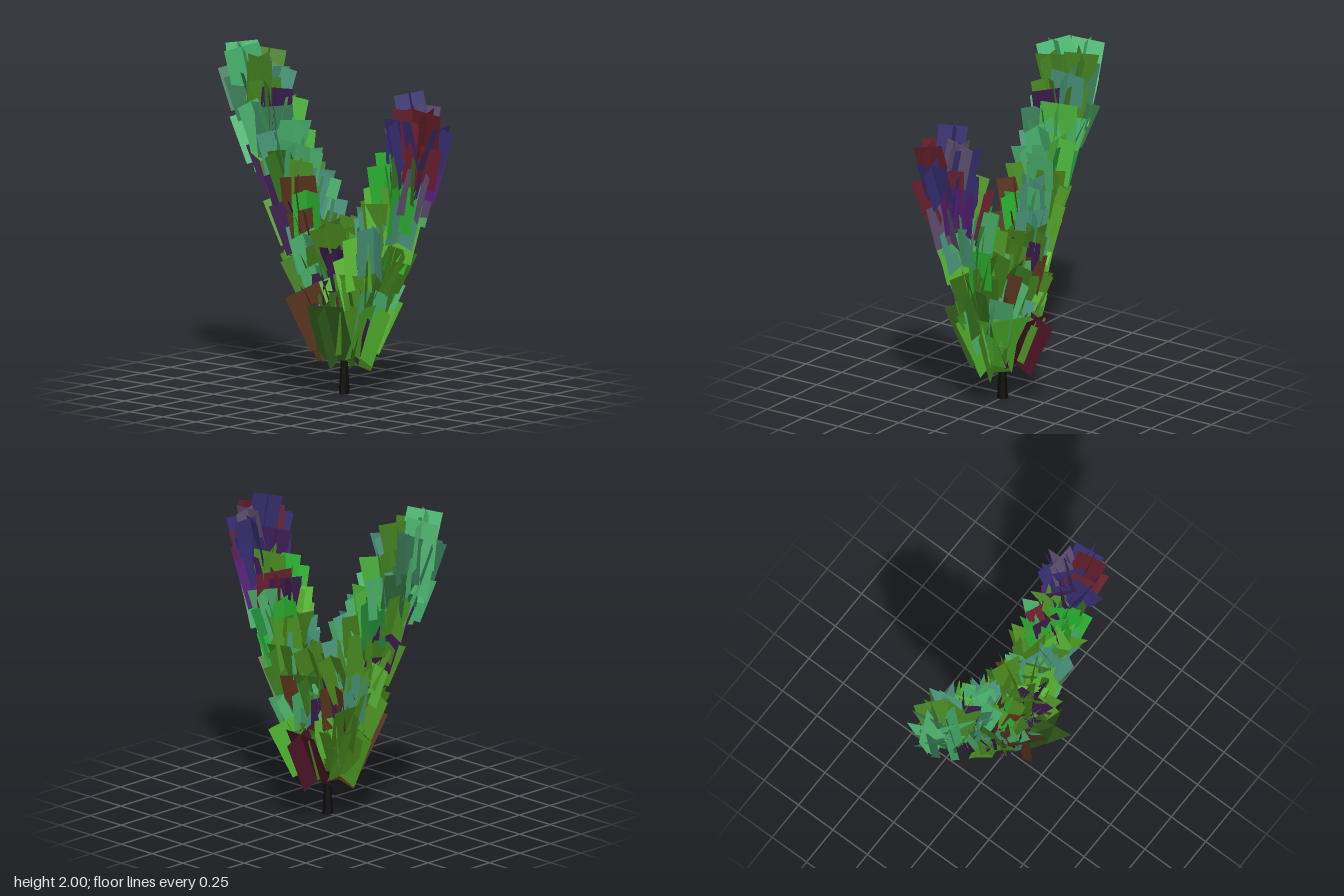
import * as THREE from 'three';
import { mergeGeometries } from 'three/addons/utils/BufferGeometryUtils.js';

const V = (x, y, z) => new THREE.Vector3(x, y, z);
const mat = (color, flatShading = false) =>
  new THREE.MeshStandardMaterial({ color, flatShading, side: THREE.DoubleSide });

// small seeded generator
function seeded(s) {
  return () => {
    s = (s * 16807) % 2147483647;
    return s / 2147483647;
  };
}

// leaf: two crossed cards of unit size, growing up from the origin
function crossedCards() {
  const a = new THREE.PlaneGeometry(1, 1).translate(0, 0.5, 0);
  return mergeGeometries([a, a.clone().rotateY(Math.PI / 2)]);
}

export function createModel() {
  const plant = new THREE.Group();
  plant.name = 'plant';
  const rand = seeded(4217);
  const vary = (mid, spread) => mid + (rand() - 0.5) * 2 * spread;

  const bark = mat(0x0c0b0a, true);
  const leafGeometry = crossedCards();
  const greens = [0x3f7a1c, 0x34701e, 0x529c26, 0x2cb432, 0x62c63a, 0x24903c, 0x4cb06c,
    0x46801c, 0x5a341e, 0x529c26, 0x4c9a80, 0x3a1a4c].map((c) => mat(c));
  const teals = [0x4cbc74, 0x58c67c, 0x3a7c58, 0x468622, 0x50bc40, 0x347440].map((c) => mat(c));
  const purples = [0x562078, 0x3e205a, 0x605070, 0x5e1c26, 0x6e2232, 0x362e70].map((c) => mat(c));

  // trunk
  const trunk = new THREE.Mesh(new THREE.CylinderGeometry(0.018, 0.033, 0.25, 7), bark);
  trunk.position.set(0.065, 0.125, 0);
  trunk.name = 'trunk';
  plant.add(trunk);

  function addLeaf(parent, base, angle, tilt, lean, roll, width, length, material) {
    const radial = V(Math.cos(angle), 0, Math.sin(angle));
    const along = V(lean, 1, 0).addScaledVector(radial, tilt).normalize();
    const across = V(-radial.z, 0, radial.x);
    across.addScaledVector(along, -across.dot(along)).normalize();
    const leaf = new THREE.Mesh(leafGeometry, material);
    leaf.name = 'leaf';
    leaf.quaternion.setFromRotationMatrix(
      new THREE.Matrix4().makeBasis(across, along, across.clone().cross(along)));
    leaf.rotateY(roll);
    leaf.position.copy(base);
    leaf.scale.set(width, length, width);
    parent.add(leaf);
  }

  // branches, each clothed in a spiral of leaves
  const branches = [
    { name: 'rightBranch', count: 68, lean: -0.1, tips: teals,
      points: [[0.065, 0.23], [-0.07, 0.55], [-0.23, 0.98], [-0.41, 1.29], [-0.63, 1.71]] },
    { name: 'leftBranch', count: 60, lean: 0.1, tips: purples,
      points: [[0.065, 0.23], [0.22, 0.55], [0.38, 0.95], [0.53, 1.22], [0.64, 1.53]] },
    { name: 'middleBranch', count: 16, lean: 0, tips: greens,
      points: [[0.065, 0.23], [0.08, 0.5], [0.1, 0.76]] },
  ];
  for (const { name, count, lean, tips, points } of branches) {
    const branch = new THREE.Group();
    branch.name = name;
    plant.add(branch);
    const curve = new THREE.CatmullRomCurve3(points.map(([x, y]) => V(x, y, 0)));
    const stem = new THREE.Mesh(new THREE.TubeGeometry(curve, 16, 0.012, 5), bark);
    stem.name = 'stem';
    branch.add(stem);
    for (let i = 0; i < count; i++) {
      const t = i / (count - 1);
      const angle = i * 2.4 + vary(0, 0.4);
      const outward = Math.cos(angle) * Math.sign(lean);
      // leaves on the outer side of a branch sit lower and reach further
      const base = curve.getPointAt(t).add(
        V(Math.cos(angle) * (0.05 + 0.03 * outward), -0.05 * Math.max(outward, 0), Math.sin(angle) * vary(0.04, 0.02)));
      const palette = rand() < (t - 0.6) * 3 ? tips : greens;
      addLeaf(branch, base, angle, vary(0.34 - 0.1 * t, 0.14), lean, vary(0, 0.8),
        vary(0.21 - 0.015 * t, 0.025), vary(0.3 - 0.02 * t, 0.025),
        palette[Math.floor(rand() * palette.length)]);
    }
  }

  // larger leaves spreading around the foot of the branches: angle, base height, length, colour
  const skirt = new THREE.Group();
  skirt.name = 'lowerLeaves';
  plant.add(skirt);
  const lowerLeaves = [
    [0.1, 0.23, 0.36, 0x4fb02c], [1.35, 0.21, 0.38, 0x2f5a1c], [2.1, 0.3, 0.36, 0x5a341e],
    [3.2, 0.25, 0.35, 0x4c9622], [4.65, 0.22, 0.35, 0x4c1428], [5.4, 0.27, 0.33, 0x4fb02c],
  ];
  for (const [angle, height, length, color] of lowerLeaves) {
    const base = V(0.065 + 0.11 * Math.cos(angle), height, 0.09 * Math.sin(angle));
    addLeaf(skirt, base, angle, 0.48, 0, vary(0, 0.3), 0.23, length, mat(color));
  }
  return plant;
}
